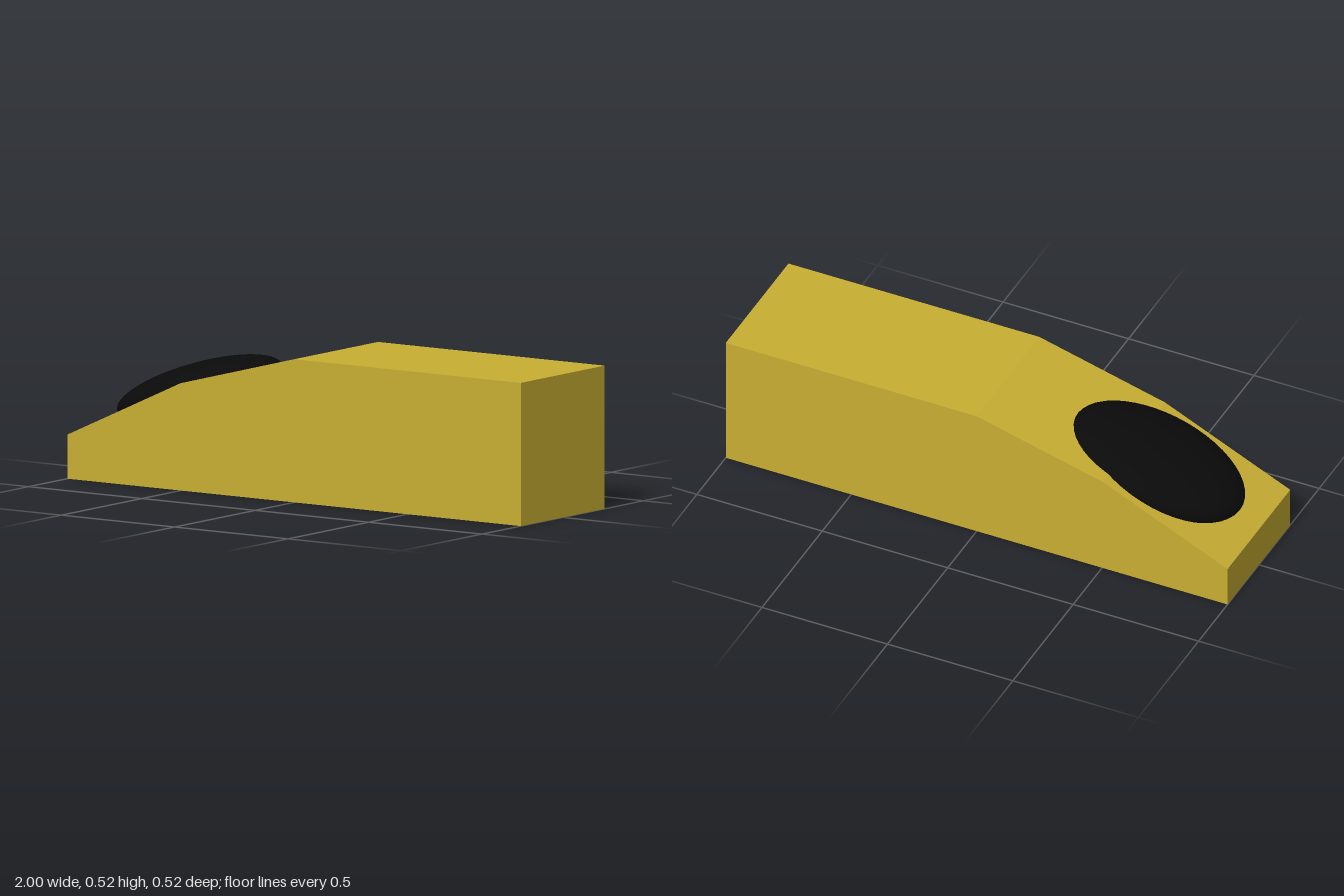
import * as THREE from 'three';

export function createModel() {
  const model = new THREE.Group();

  // Body: side profile with a nose sloping down in two facets
  const depth = 0.52;
  const profile = new THREE.Shape([
    [-1, 0], [1, 0], [1, 0.52], [0, 0.52], [-0.5, 0.39], [-1, 0.16],
  ].map(([x, y]) => new THREE.Vector2(x, y)));
  const bodyGeometry = new THREE.ExtrudeGeometry(profile, { depth, bevelEnabled: false });
  bodyGeometry.translate(0, 0, -depth / 2);
  const body = new THREE.Mesh(
    bodyGeometry,
    new THREE.MeshStandardMaterial({ color: 0xc8ae33, flatShading: true }),
  );
  body.name = 'body';
  model.add(body);

  // Canopy: flattened ellipsoid half sunk into the sloping nose
  const canopy = new THREE.Mesh(
    new THREE.SphereGeometry(1, 48, 32),
    new THREE.MeshStandardMaterial({ color: 0x0a0a0a }),
  );
  canopy.name = 'canopy';
  canopy.scale.set(0.343, 0.092, 0.231);
  canopy.rotation.z = THREE.MathUtils.degToRad(18);
  canopy.position.set(-0.6, 0.333, 0);
  model.add(canopy);

  return model;
}
